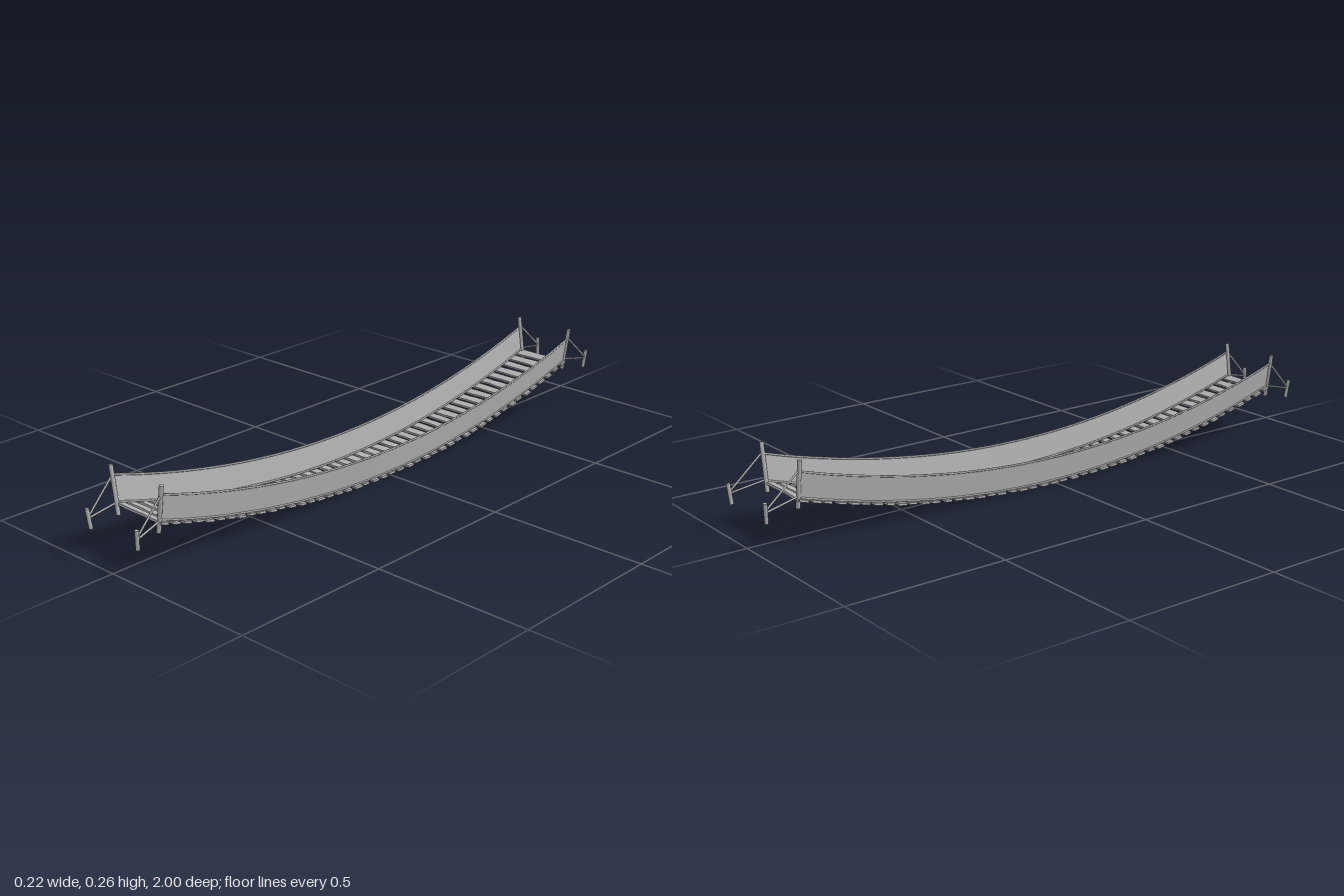
import * as THREE from 'three';

const FRONT = 0.905, BACK = -0.885;           // z of the two ends of the span
const sag = (z) => 0.007 + 0.14 * (z / 0.9) ** 2;
const slope = (z) => Math.atan(2 * 0.14 * z / 0.81);
const LOW = 0.089, HIGH = 0.1, WALL = 0.081;  // side net: x at bottom and top, height

// Small repeatable random numbers for the uneven planks
let seed = 7;
const jitter = (a) => {
  seed = (seed * 16807) % 2147483647;
  return (seed / 2147483647 * 2 - 1) * a;
};

export function createModel() {
  const group = new THREE.Group();
  const grey = new THREE.MeshStandardMaterial({ color: 0xb2b2b2 });
  grey.name = 'weathered grey';
  grey.side = THREE.DoubleSide;

  const add = (name, geometry) => {
    const mesh = new THREE.Mesh(geometry, grey);
    mesh.name = name;
    group.add(mesh);
    return mesh;
  };

  // Straight pole between two points
  const pole = (name, a, b, radius, sides = 8) => {
    const p = new THREE.Vector3(...a), q = new THREE.Vector3(...b);
    const dir = q.clone().sub(p);
    const mesh = add(name, new THREE.CylinderGeometry(radius, radius, dir.length(), sides));
    mesh.position.copy(p).add(q).multiplyScalar(0.5);
    mesh.quaternion.setFromUnitVectors(new THREE.Vector3(0, 1, 0), dir.normalize());
  };

  // Uneven planks laid along the sagging curve
  const count = 46;
  for (let i = 0; i < count; i++) {
    const z = THREE.MathUtils.lerp(BACK + 0.012, FRONT - 0.012, i / (count - 1));
    const geo = new THREE.BoxGeometry(0.198 + jitter(0.004), 0.007, 0.027 + jitter(0.002), 5, 1, 1);
    const pos = geo.attributes.position;
    const bends = Array.from({ length: 12 }, () => jitter(0.002));
    for (let k = 0; k < pos.count; k++) {
      const col = Math.round((pos.getX(k) / 0.198 + 0.5) * 5);
      pos.setZ(k, pos.getZ(k) + bends[col + (pos.getZ(k) > 0 ? 6 : 0)]);
      pos.setY(k, pos.getY(k) + bends[col] * 0.4);
    }
    geo.computeVertexNormals();
    const plank = add('plank', geo.toNonIndexed());
    plank.geometry.computeVertexNormals();
    plank.position.set(jitter(0.003), sag(z) - 0.002, z);
    plank.rotation.set(-slope(z), jitter(0.012), jitter(0.012));
  }

  for (const s of [-1, 1]) {
    // Leaning side net following the curve
    const net = new THREE.PlaneGeometry(1, 1, 48, 1);
    const pos = net.attributes.position;
    for (let k = 0; k < pos.count; k++) {
      const z = THREE.MathUtils.lerp(FRONT, BACK, pos.getX(k) + 0.5);
      const up = pos.getY(k) + 0.5;
      pos.setXYZ(k, s * THREE.MathUtils.lerp(LOW, HIGH, up), sag(z) + up * WALL, z);
    }
    net.computeVertexNormals();
    add('sideNet', net);

    // Hand rope and foot rope
    for (const [name, x, lift] of [['handRope', HIGH, WALL], ['footRope', LOW, 0.004]]) {
      const points = Array.from({ length: 25 }, (_, i) => {
        const z = THREE.MathUtils.lerp(BACK, FRONT, i / 24);
        return new THREE.Vector3(s * x, sag(z) + lift, z);
      });
      add(name, new THREE.TubeGeometry(new THREE.CatmullRomCurve3(points), 60, 0.0032, 6));
    }

    // End posts, ground stakes and the stay ropes between them
    for (const [end, d] of [[FRONT, 1], [BACK, -1]]) {
      pole('endPost', [s * 0.083, 0.115, end], [s * 0.104, 0.257, end], 0.0065);
      pole('stake', [s * 0.097, 0.098, d * 0.989], [s * 0.103, 0.158, d * 0.994], 0.006);
      pole('upperStay', [s * 0.1, 0.136, d * 0.99], [s * HIGH, 0.228, end], 0.0032, 6);
      pole('lowerStay', [s * 0.1, 0.13, d * 0.99], [s * LOW, 0.15, end], 0.0032, 6);
    }
  }
  return group;
}
